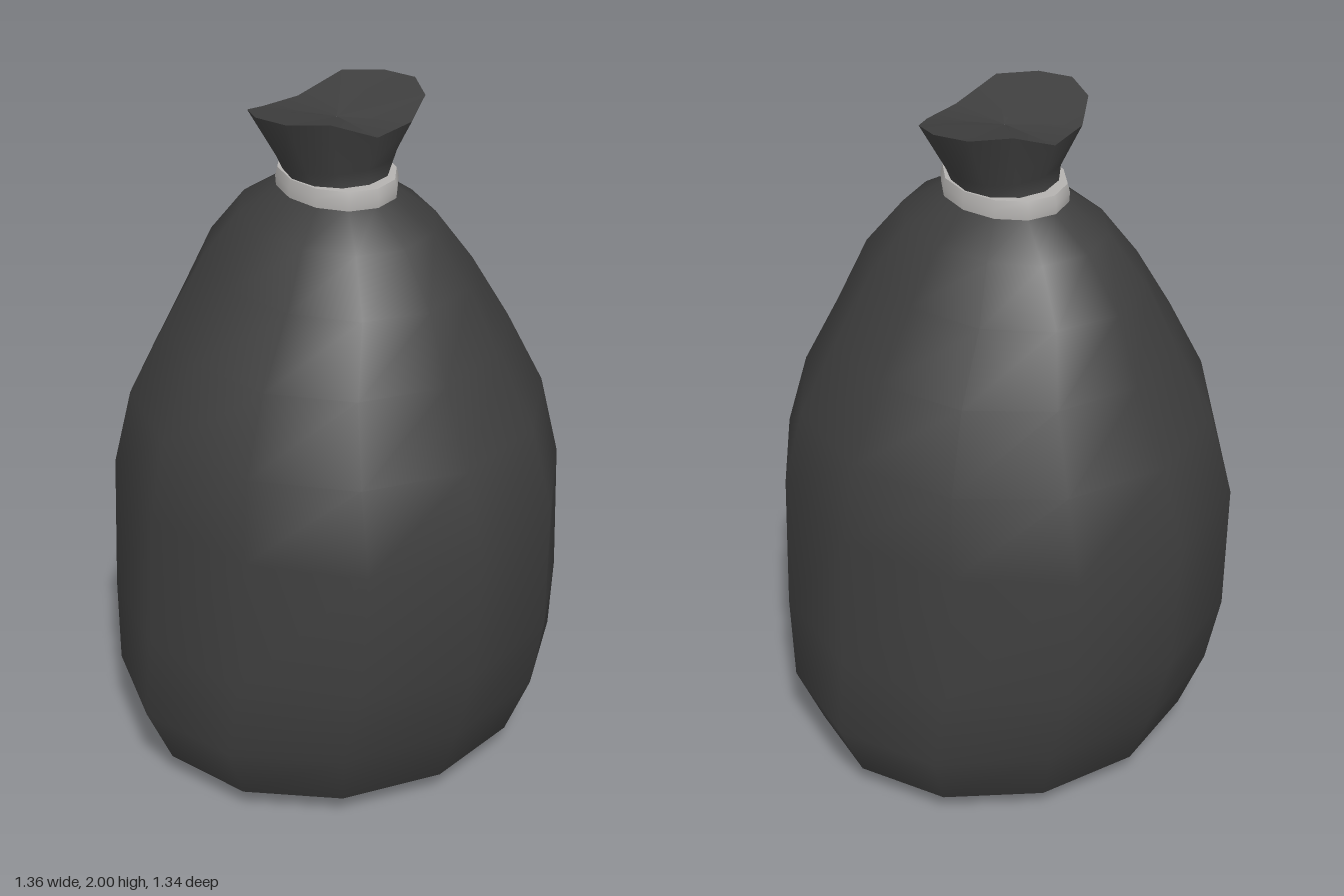
import * as THREE from 'three';
import { toCreasedNormals } from 'three/addons/utils/BufferGeometryUtils.js';

const SIDES = 12;

// Skin of elliptical rings [y, radiusX, radiusZ], listed bottom to top.
// y may be a list with one height for each corner.
function loft(rings) {
  const positions = [], index = [];
  rings.forEach(([y, rx, rz]) => {
    for (let k = 0; k < SIDES; k++) {
      const a = (k / SIDES) * Math.PI * 2;
      positions.push(rx * Math.cos(a), Array.isArray(y) ? y[k] : y, rz * Math.sin(a));
    }
  });
  for (let r = 0; r < rings.length - 1; r++) {
    for (let k = 0; k < SIDES; k++) {
      const a = r * SIDES + k, b = r * SIDES + (k + 1) % SIDES;
      index.push(a, a + SIDES, b, b, a + SIDES, b + SIDES);
    }
  }
  const geometry = new THREE.BufferGeometry();
  geometry.setAttribute('position', new THREE.Float32BufferAttribute(positions, 3));
  geometry.setIndex(index);
  geometry.computeVertexNormals();
  return geometry;
}

export function createModel() {
  const sack = new THREE.MeshStandardMaterial({ color: 0x3e3e3e });
  sack.name = 'dark sack';
  const tie = new THREE.MeshStandardMaterial({ color: 0xb4b2b0 });
  tie.name = 'pale tie';

  const group = new THREE.Group();
  const add = (name, geometry, material) => {
    const mesh = new THREE.Mesh(geometry, material);
    mesh.name = name;
    group.add(mesh);
  };

  // Full bag: wide across the sides at mid height, deep front to back at the foot
  add('bagBody', loft([
    [0, 0.001, 0.001],
    [0.013, 0.27, 0.28],
    [0.04, 0.465, 0.53],
    [0.075, 0.52, 0.59],
    [0.26, 0.59, 0.67],
    [0.5, 0.66, 0.65],
    [0.9, 0.68, 0.625],
    [1.13, 0.605, 0.58],
    [1.34, 0.5, 0.475],
    [1.53, 0.425, 0.355],
    [1.67, 0.31, 0.255],
    [1.75, 0.18, 0.145],
  ]), sack);

  // Flared neck above the tie, its rim dipping at the sides with a half-turn symmetry
  const halfRim = [1.945, 2, 2, 2, 1.985, 1.952];
  const rim = [...halfRim, ...halfRim];
  add('neck', loft([
    [1.74, 0.165, 0.135],
    [1.8, 0.152, 0.147],
    [1.84, 0.147, 0.17],
    [rim, 0.186, 0.26],
  ]), sack);

  // Gathered mouth closing the neck, sagging into a shallow valley
  add('mouth', loft([[rim, 0.186, 0.26], [1.945, 0.001, 0.001]]), sack);

  // Tie band around the neck
  add('tieBand', toCreasedNormals(loft([
    [1.747, 0.15, 0.12],
    [1.747, 0.192, 0.156],
    [1.775, 0.194, 0.158],
    [1.8, 0.187, 0.152],
    [1.8, 0.14, 0.12],
  ]), Math.PI / 4), tie);

  return group;
}
